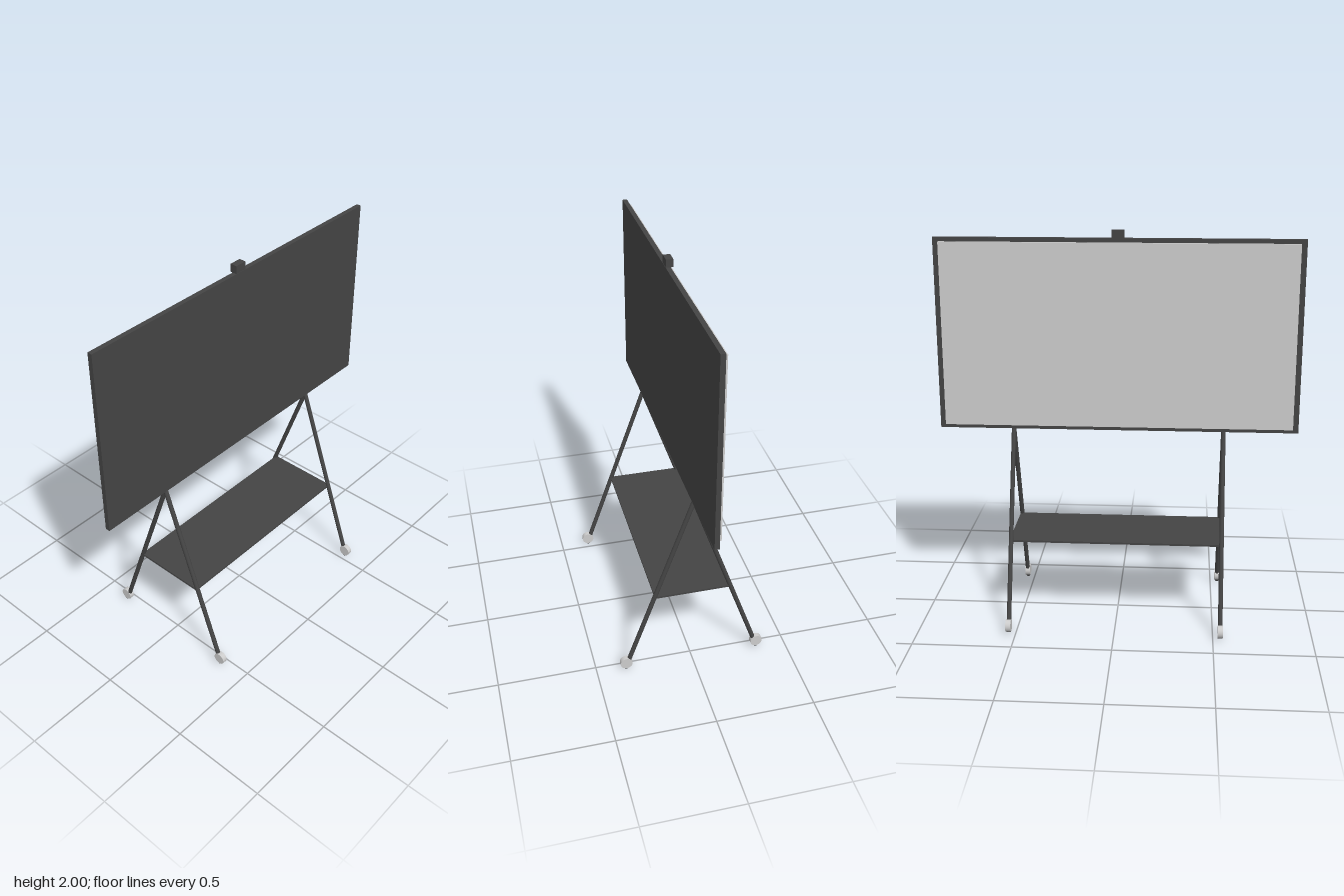
import * as THREE from 'three';

const dark = new THREE.MeshStandardMaterial({ color: 0x444444 });
const grey = new THREE.MeshStandardMaterial({ color: 0xcccccc });

export function createModel() {
  const group = new THREE.Group();

  const add = (name, geometry, material, x, y, z) => {
    const mesh = new THREE.Mesh(geometry, material);
    mesh.name = name;
    mesh.position.set(x, y, z);
    group.add(mesh);
    return mesh;
  };

  // Board: dark panel with the lighter screen on its -x face
  add('panel', new THREE.BoxGeometry(0.024, 0.972, 1.828), dark, -0.001, 1.474, 0);
  add('screen', new THREE.BoxGeometry(0.018, 0.93, 1.77), grey, -0.021, 1.474, 0);

  // Camera block on the top edge
  add('camera', new THREE.BoxGeometry(0.035, 0.04, 0.062), dark, -0.008, 1.98, 0);

  // Shelf between the two leg frames
  add('shelf', new THREE.BoxGeometry(0.39, 0.01, 1.09), dark, 0, 0.44, 0);

  // Splayed legs with a caster at each foot
  const legZ = 0.537;
  const top = new THREE.Vector2(0, 0.99);
  const foot = new THREE.Vector2(0.35, 0.004);
  const legGeometry = new THREE.CylinderGeometry(0.0115, 0.0115, top.distanceTo(foot), 20);
  const wheelGeometry = new THREE.CylinderGeometry(0.031, 0.031, 0.026, 28).rotateX(Math.PI / 2);
  const tilt = Math.atan2(foot.x, top.y - foot.y);
  for (const sx of [-1, 1]) {
    for (const sz of [-1, 1]) {
      const leg = add('leg', legGeometry, dark, sx * foot.x / 2, (top.y + foot.y) / 2, sz * legZ);
      leg.rotation.z = sx * tilt;
      add('wheel', wheelGeometry, grey, sx * 0.347, 0.039, sz * legZ);
    }
  }

  return group;
}
